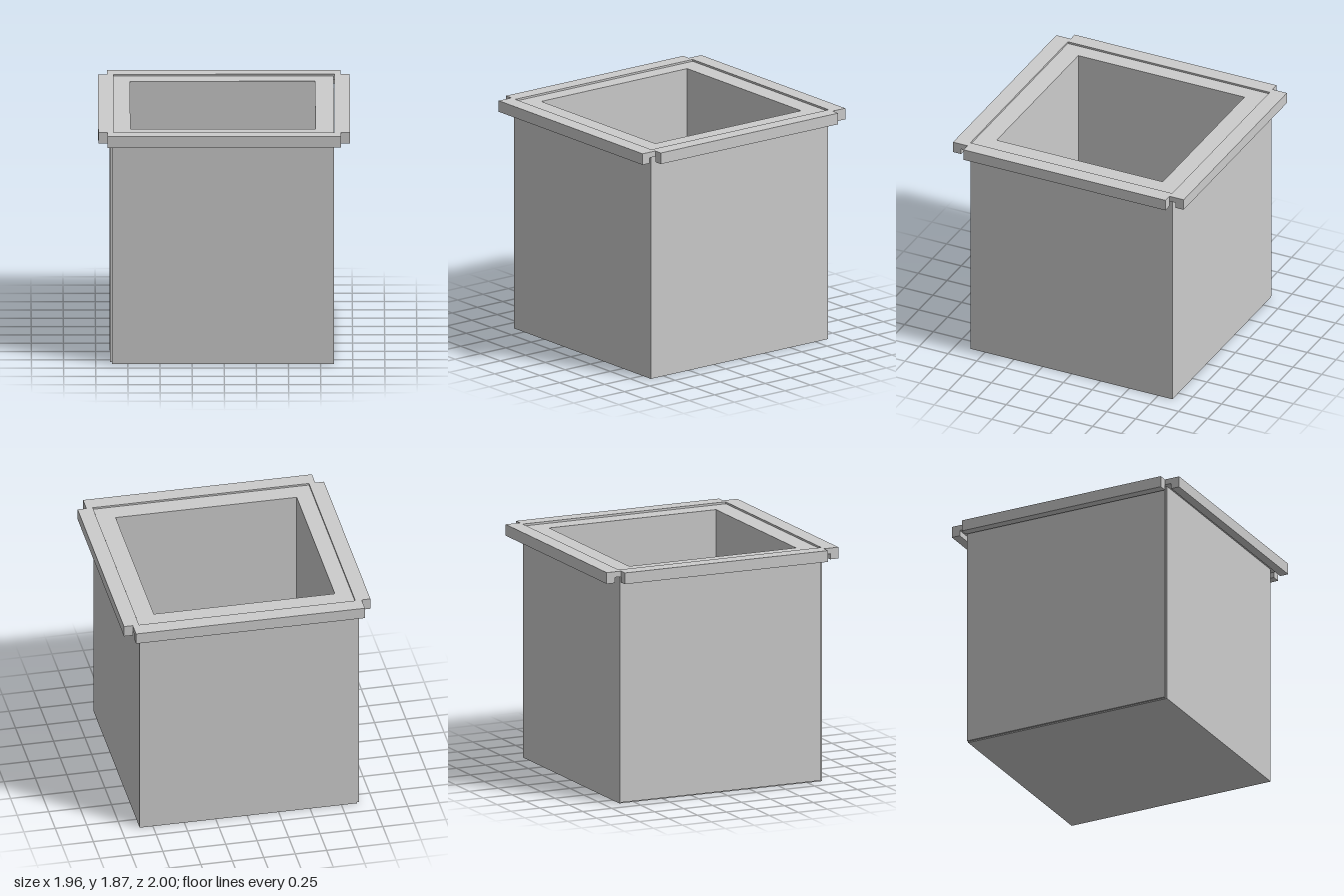
import * as THREE from 'three';

const material = new THREE.MeshStandardMaterial({ color: 0xcccccc, flatShading: true });

function rectangle(PathType, x0, x1, z) {
  const p = new PathType();
  p.moveTo(x0, -z);
  p.lineTo(x1, -z);
  p.lineTo(x1, z);
  p.lineTo(x0, z);
  p.closePath();
  return p;
}

function addBox(parent, name, [x0, x1], [y0, y1], [z0, z1]) {
  const mesh = new THREE.Mesh(new THREE.BoxGeometry(x1 - x0, y1 - y0, z1 - z0), material);
  mesh.position.set((x0 + x1) / 2, (y0 + y1) / 2, (z0 + z1) / 2);
  mesh.name = name;
  parent.add(mesh);
}

// L-section edge strip: a flat top with a lip hanging from its outer edge
function makeStrip(name, inner, lip, outer, length) {
  const s = new THREE.Shape();
  s.moveTo(inner, 1.82);
  s.lineTo(lip, 1.82);
  s.lineTo(lip, 1.775);
  s.lineTo(outer, 1.775);
  s.lineTo(outer, 1.865);
  s.lineTo(inner, 1.865);
  s.closePath();
  const g = new THREE.ExtrudeGeometry(s, { depth: length, bevelEnabled: false });
  g.translate(0, 0, -length / 2);
  const mesh = new THREE.Mesh(g, material);
  mesh.name = name;
  return mesh;
}

export function createModel() {
  const model = new THREE.Group();
  model.name = 'openBox';

  // Thick walls around a square opening
  const outline = rectangle(THREE.Shape, -0.875, 0.855, 0.875);
  outline.holes.push(rectangle(THREE.Path, -0.73, 0.71, 0.72));
  const wallGeometry = new THREE.ExtrudeGeometry(outline, { depth: 1.85, bevelEnabled: false });
  wallGeometry.rotateX(-Math.PI / 2);
  const walls = new THREE.Mesh(wallGeometry, material);
  walls.name = 'walls';
  model.add(walls);

  addBox(model, 'floor', [-0.73, 0.71], [0, 0.15], [-0.72, 0.72]);

  // Thin outer panel on one side
  addBox(model, 'sidePanel', [-0.89, -0.875], [0.01, 1.82], [-0.875, 0.86]);

  // Rim: four strips with open notches at the corners
  const rim = new THREE.Group();
  rim.name = 'rim';
  const strips = [
    ['rightStrip', 0, 0.86, 0.91, 0.98, 1.75],
    ['leftStrip', Math.PI, 0.86, 0.91, 0.98, 1.75],
    ['frontStrip', -Math.PI / 2, 0.875, 0.93, 1, 1.82],
    ['backStrip', Math.PI / 2, 0.875, 0.93, 1, 1.82],
  ];
  for (const [name, angle, inner, lip, outer, length] of strips) {
    const strip = makeStrip(name, inner, lip, outer, length);
    strip.rotation.y = angle;
    rim.add(strip);
  }
  model.add(rim);
  return model;
}
